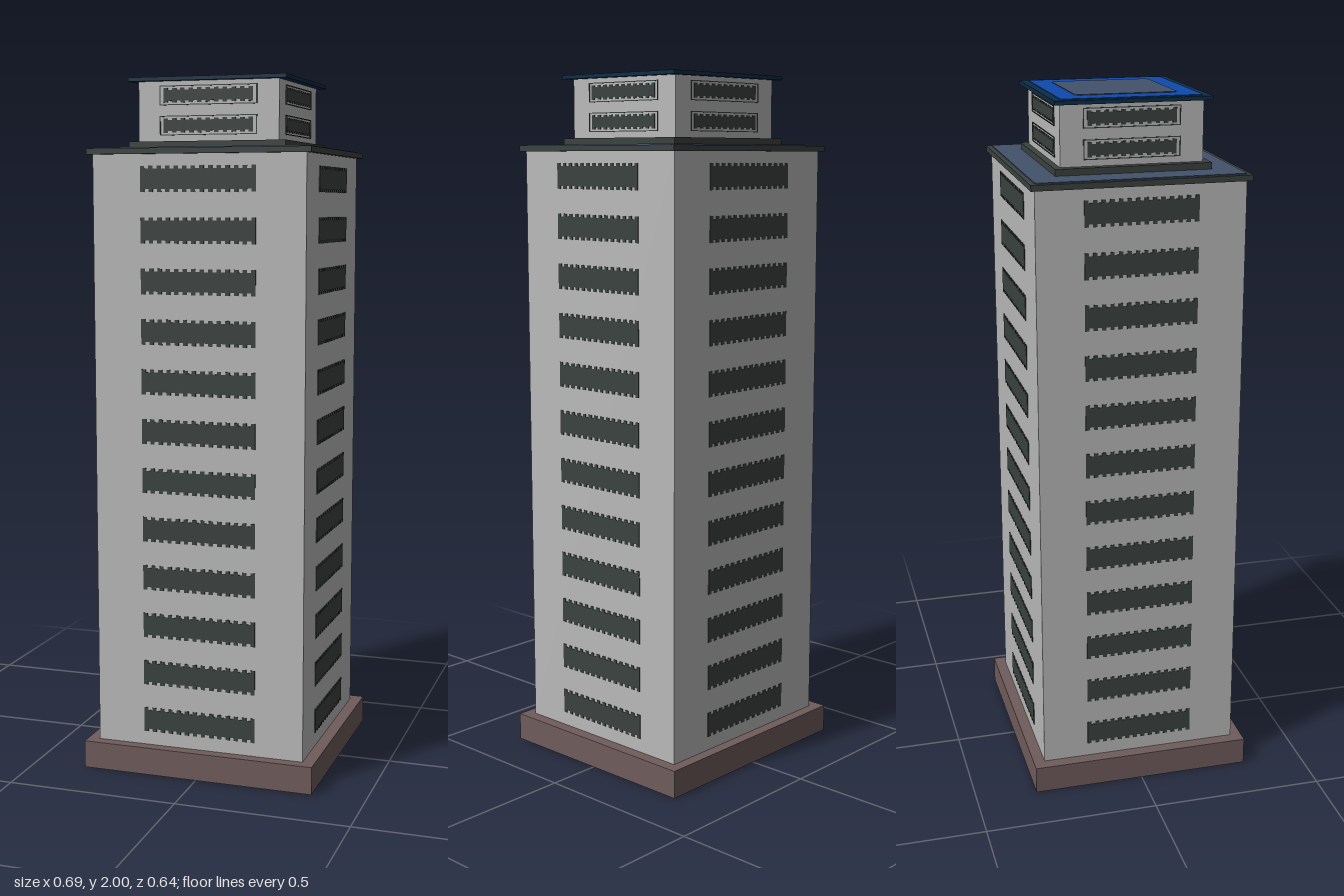
import * as THREE from 'three';

const mat = (name, color, side = THREE.FrontSide) => {
  const m = new THREE.MeshStandardMaterial({ color, side });
  m.name = name;
  return m;
};

export function createModel() {
  const wall = mat('wall grey', 0xbababa, THREE.DoubleSide);
  const brown = mat('base brown', 0x705c5c, THREE.DoubleSide);
  const dark = mat('window charcoal', 0x3b4240);
  const slate = mat('roof slate', 0x43526b);
  const navy = mat('roof edge navy', 0x0d2c45);
  const blue = mat('roof blue', 0x0e4aae);

  const model = new THREE.Group();
  model.name = 'tower';

  const add = (name, geometry, material, parent = model) => {
    const mesh = new THREE.Mesh(geometry, material);
    mesh.name = name;
    parent.add(mesh);
    return mesh;
  };

  // Four upright walls, open above and below
  const walls = (name, w, d, y0, y1, material) => {
    const g = new THREE.CylinderGeometry(Math.SQRT1_2, Math.SQRT1_2, y1 - y0, 4, 1, true)
      .rotateY(Math.PI / 4).scale(w, 1, d).translate(0, (y0 + y1) / 2, 0).toNonIndexed();
    g.computeVertexNormals();
    add(name, g, material);
  };

  const slab = (name, w, d, y0, y1, material) =>
    add(name, new THREE.BoxGeometry(w, y1 - y0, d).translate(0, (y0 + y1) / 2, 0), material);

  const rectangle = (w, h, Type = THREE.Shape) => new Type([
    new THREE.Vector2(-w / 2, -h / 2), new THREE.Vector2(w / 2, -h / 2),
    new THREE.Vector2(w / 2, h / 2), new THREE.Vector2(-w / 2, h / 2),
  ]);

  // Thin roof panel with clipped corners
  const panel = (name, w, d, cut, y0, y1, material) => {
    const x = w / 2, z = d / 2;
    const shape = new THREE.Shape([
      [x, z - cut], [x - cut, z], [cut - x, z], [-x, z - cut],
      [-x, cut - z], [cut - x, -z], [x - cut, -z], [x, cut - z],
    ].map(p => new THREE.Vector2(...p)));
    const g = new THREE.ExtrudeGeometry(shape, { depth: y1 - y0, bevelEnabled: false });
    add(name, g.rotateX(-Math.PI / 2).translate(0, y0, 0), material);
  };

  // Window strip with a toothed upper and lower edge
  const windowStrip = (w, h, tooth, count, thick) => {
    const pts = [];
    const step = w / (2 * count - 1);
    for (const s of [-1, 1]) {
      for (let i = 0; i < 2 * count - 1; i++) {
        const y = s * (h / 2 - (i % 2 ? tooth : 0));
        pts.push(new THREE.Vector2(s * (w / 2 - i * step), y));
        pts.push(new THREE.Vector2(s * (w / 2 - (i + 1) * step), y));
      }
    }
    return new THREE.ExtrudeGeometry(new THREE.Shape(pts), { depth: thick, bevelEnabled: false })
      .translate(0, 0, -thick / 2);
  };

  // Base skirt with a ledge around the tower
  walls('baseSkirt', 0.69, 0.645, 0, 0.08, brown);
  const ledge = rectangle(0.69, 0.645);
  ledge.holes.push(rectangle(0.62, 0.58, THREE.Path));
  add('baseLedge', new THREE.ShapeGeometry(ledge).rotateX(-Math.PI / 2).translate(0, 0.08, 0), brown);

  // Main tower and its roof
  walls('towerWalls', 0.62, 0.58, 0.08, 1.785, wall);
  slab('towerRoofEdge', 0.65, 0.604, 1.782, 1.798, dark);
  panel('towerRoof', 0.626, 0.576, 0.006, 1.798, 1.801, slate);

  // Upper storey and its roof
  slab('upperPlinth', 0.46, 0.434, 1.8, 1.819, dark);
  walls('upperWalls', 0.412, 0.396, 1.819, 1.986, wall);
  slab('upperRoofEdge', 0.462, 0.434, 1.985, 1.996, navy);
  panel('upperRoofBlue', 0.42, 0.39, 0.008, 1.996, 1.998, blue);
  panel('upperRoofCentre', 0.297, 0.283, 0.009, 1.998, 2, slate);

  // Windows on all four sides
  const sides = [
    { name: 'front', turn: 0, tower: 0.29, upper: 0.198, k: 1 },
    { name: 'left', turn: Math.PI / 2, tower: 0.31, upper: 0.206, k: 0.94 },
    { name: 'back', turn: Math.PI, tower: 0.29, upper: 0.198, k: 1 },
    { name: 'right', turn: -Math.PI / 2, tower: 0.31, upper: 0.206, k: 0.94 },
  ];
  for (const { name, turn, tower, upper, k } of sides) {
    const side = new THREE.Group();
    side.name = name + 'Windows';
    side.rotation.y = turn;
    model.add(side);

    const strip = windowStrip(0.336 * k, 0.072, 0.008, 14, 0.004);
    for (let i = 0; i < 12; i++) {
      add('towerWindow', strip, dark, side).position.set(0, 0.156 + i * 0.1416, tower);
    }

    const small = windowStrip(0.262 * k, 0.04, 0.005, 11, 0.004);
    const outline = rectangle(0.286 * k, 0.054);
    outline.holes.push(rectangle(0.281 * k, 0.049, THREE.Path));
    const frame = new THREE.ExtrudeGeometry(outline, { depth: 0.002, bevelEnabled: false });
    for (const y of [1.863, 1.946]) {
      add('upperWindow', small, dark, side).position.set(0, y, upper);
      add('upperWindowFrame', frame, dark, side).position.set(0, y, upper);
    }
  }
  return model;
}
